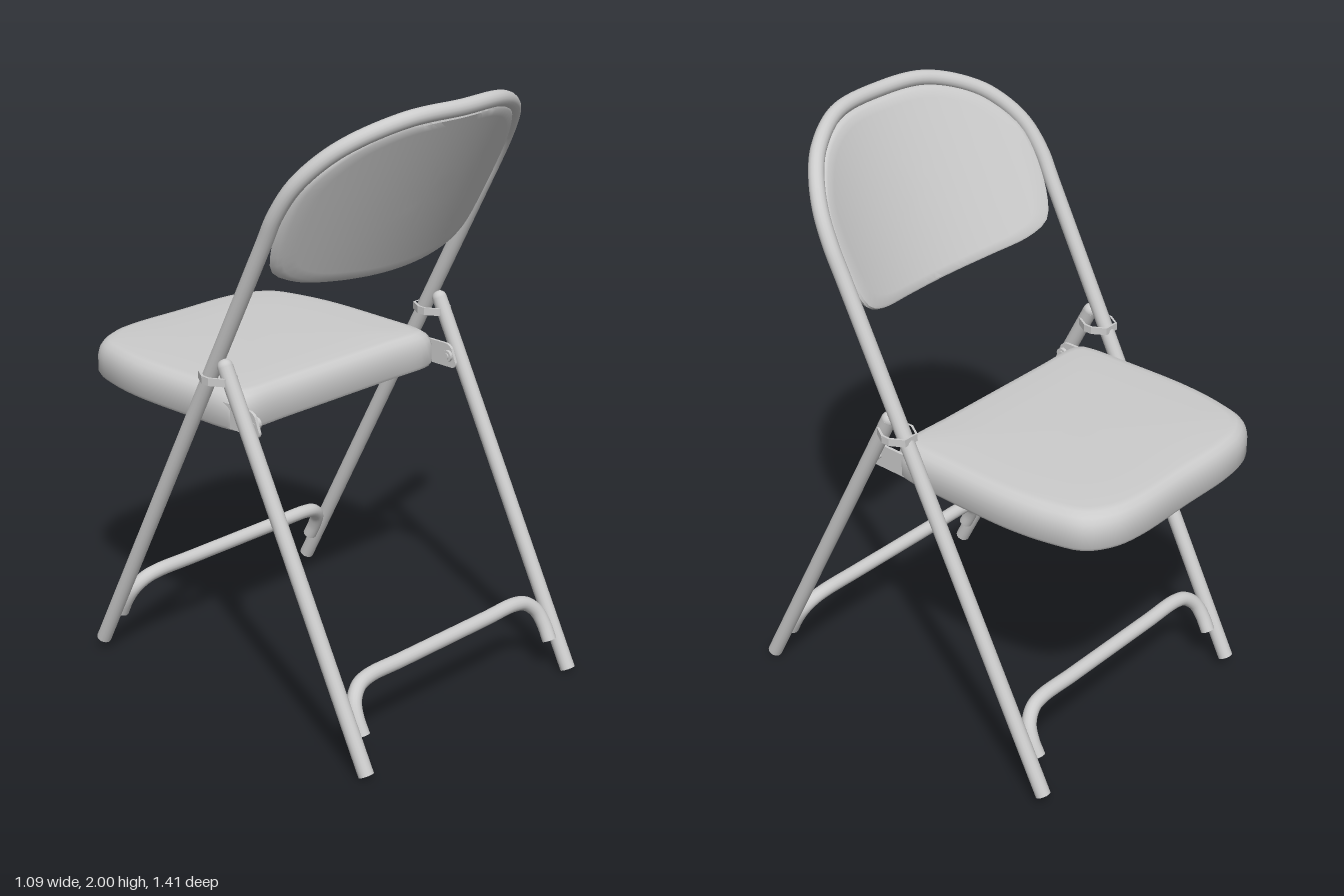
import * as THREE from 'three';
import { mergeGeometries, toCreasedNormals } from 'three/addons/utils/BufferGeometryUtils.js';

const grey = new THREE.MeshStandardMaterial({ color: 0xcccccc });
const LEG_X = 0.488, SLOPE = 0.517;
const V = (x, y, z) => new THREE.Vector3(x, y, z);

// Lean of the main frame, of the rear legs, and the backward bow of the back
const frameZ = y => -0.555 + SLOPE * (y - 0.04);
const rearZ = y => 0.678 - SLOPE * (y - 0.0115);
const bow = x => 0.13 * Math.max(0, 1 - (x / LEG_X) ** 2);

function add(parent, name, geometry) {
  const mesh = new THREE.Mesh(geometry, grey);
  mesh.name = name;
  parent.add(mesh);
  return mesh;
}

// Round tube along points, closed with flat discs
function tube(points, radius, segments) {
  const curve = new THREE.CatmullRomCurve3(points);
  const parts = [new THREE.TubeGeometry(curve, segments, radius, 16)];
  for (const t of [0, 1]) {
    const dir = curve.getTangentAt(t).multiplyScalar(t ? 1 : -1);
    const end = curve.getPointAt(t);
    const cap = new THREE.CircleGeometry(radius, 16);
    cap.applyQuaternion(new THREE.Quaternion().setFromUnitVectors(V(0, 0, 1), dir));
    cap.translate(end.x, end.y, end.z);
    parts.push(cap);
  }
  return mergeGeometries(parts);
}

// Mirror a half path that starts on x = 0 (shared) into a full one
const mirrorPath = half => [
  ...half.slice().reverse(),
  ...half.filter(p => p[0] > 0).map(([x, y]) => [-x, y]),
];

// Closed outline (half runs bottom centre, right side, top centre)
function outline(half, count) {
  const left = half.slice(1, -1).reverse().map(([x, y]) => [-x, y]);
  const pts = [...half, ...left].map(([x, y]) => V(x, y, 0));
  return new THREE.CatmullRomCurve3(pts, true).getSpacedPoints(count).slice(0, count);
}

// Solid from scaled copies of an outline; profile = [scale, depth] from top to underside
function ringSolid(loop, centreY, profile, place) {
  const n = loop.length, pos = [], idx = [];
  for (const [s, d] of profile)
    for (const p of loop) pos.push(...place(p.x * s, centreY + (p.y - centreY) * s, d));
  for (let i = 0; i < profile.length - 1; i++)
    for (let j = 0; j < n; j++) {
      const k = (j + 1) % n, a = i * n + j, b = i * n + k, c = a + n, d = b + n;
      if (profile[i + 1][0] > 0) idx.push(a, c, d);
      if (profile[i][0] > 0) idx.push(a, d, b);
    }
  const g = new THREE.BufferGeometry();
  g.setAttribute('position', new THREE.Float32BufferAttribute(pos, 3));
  g.setIndex(idx);
  return toCreasedNormals(g, 0.7);
}

export function createModel() {
  const chair = new THREE.Group();
  chair.name = 'foldingChair';

  // Main frame: front legs running up into the arched back
  const arch = mirrorPath([
    [0, 1.975], [0.2, 1.968], [0.345, 1.918], [0.415, 1.865], [0.468, 1.785],
    [LEG_X, 1.69], [LEG_X, 1.6], [LEG_X, 1.2], [LEG_X, 0.6], [LEG_X, 0.04],
  ]);
  add(chair, 'mainFrame', tube(arch.map(([x, y]) => V(x, y, frameZ(y) + bow(x))), 0.025, 200));

  // Backrest panel, bowed between the frame sides
  const backLoop = outline([
    [0, 1.42], [0.2, 1.428], [0.35, 1.45], [0.425, 1.488], [0.452, 1.55], [0.465, 1.68],
    [0.45, 1.78], [0.395, 1.855], [0.33, 1.905], [0.2, 1.948], [0, 1.955],
  ], 80);
  const face = [0, 0.15, 0.3, 0.45, 0.6, 0.75, 0.88, 0.96];
  const backProfile = [
    ...face.map(s => [s, 0.02]), [0.985, 0.015], [1, 0.005],
    [1, -0.005], [0.985, -0.015], ...face.slice().reverse().map(s => [s, -0.02]),
  ];
  add(chair, 'backrest', ringSolid(backLoop, 1.69, backProfile,
    (x, y, d) => [x, y, frameZ(y) + bow(x) + d]));

  // Seat pan: rounded top edge, rolled lip and hollow underside
  const seatLoop = outline([
    [0, -0.1], [0.25, -0.1], [0.415, -0.1], [0.447, -0.085], [0.46, -0.04], [0.465, 0.1],
    [0.465, 0.38], [0.442, 0.53], [0.405, 0.635], [0.325, 0.69], [0.22, 0.71], [0, 0.71],
  ], 112);
  add(chair, 'seat', ringSolid(seatLoop, 0.3, [
    [0, 1.076], [0.5, 1.076], [0.88, 1.075], [0.93, 1.072], [0.965, 1.06], [0.988, 1.043],
    [1, 1.02], [1, 0.965], [0.985, 0.953], [0.96, 0.952], [0.91, 0.952], [0.9, 0.96],
    [0.9, 1.04], [0, 1.045],
  ], (x, b, d) => [x, d, -b]));

  // Cross bars with ends bent down beside the legs
  const crossBar = (name, top, zAt) => add(chair, name, tube(mirrorPath([
    [0, top], [0.2, top], [0.35, top], [0.4, top - 0.012], [0.437, top - 0.045],
    [0.45, top - 0.09], [0.45, top - 0.14],
  ]).map(([x, y]) => V(x, y, zAt(y))), 0.024, 90));
  crossBar('rearCrossBar', 0.252, rearZ);
  crossBar('frontCrossBar', 0.285, frameZ);

  // Strap that joins the rear leg to the frame on each side
  const ring = (w, h) => [[0.5, 1], [1, 0.25], [1, -0.25], [0.5, -1], [-0.5, -1], [-1, -0.25],
    [-1, 0.25], [-0.5, 1]].map(([x, y]) => new THREE.Vector2(x * w, y * h));
  const strapShape = new THREE.Shape(ring(0.055, 0.06));
  strapShape.holes.push(new THREE.Path(ring(0.047, 0.053)));
  const strapGeo = new THREE.ExtrudeGeometry(strapShape, { depth: 0.025, bevelEnabled: false });
  strapGeo.rotateX(-Math.PI / 2);

  // Plate reaching back from the seat to the rear leg
  const plateShape = new THREE.Shape();
  plateShape.moveTo(-0.02, 0.96).lineTo(0.17, 0.96);
  plateShape.quadraticCurveTo(0.19, 0.96, 0.188, 0.98);
  plateShape.lineTo(0.17, 1.025).quadraticCurveTo(0.16, 1.04, 0.14, 1.04);
  plateShape.lineTo(-0.02, 1.04);
  const plateGeo = new THREE.ExtrudeGeometry(plateShape, { depth: 0.01, bevelEnabled: false });
  plateGeo.rotateY(-Math.PI / 2);

  for (const [side, s] of [['left', 1], ['right', -1]]) {
    add(chair, side + 'RearLeg', tube(
      [V(s * LEG_X, 0.0115, rearZ(0.0115)), V(s * LEG_X, 1.175, rearZ(1.175))], 0.025, 8));
    add(chair, side + 'RearLegPlug', new THREE.SphereGeometry(0.025, 16, 12))
      .position.set(s * LEG_X, 1.175, rearZ(1.175));
    add(chair, side + 'HingeStrap', strapGeo).position.set(s * LEG_X, 1.122, 0.043);
    add(chair, side + 'SeatPlate', plateGeo).position.x = s * 0.451 + 0.005;

    // Pivot pins with bolt heads
    const pin = (name, r, len, x, y, z) => {
      const m = add(chair, side + name, new THREE.CylinderGeometry(r, r, len, 12));
      m.rotation.z = Math.PI / 2;
      m.position.set(s * x, y, z);
    };
    pin('RearPivot', 0.011, 0.06, 0.46, 1.0, 0.158);
    pin('RearBoltHead', 0.02, 0.012, 0.44, 1.0, 0.158);
    pin('FrontPivot', 0.012, 0.05, 0.465, 1.0, frameZ(1.0));
  }
  return chair;
}
